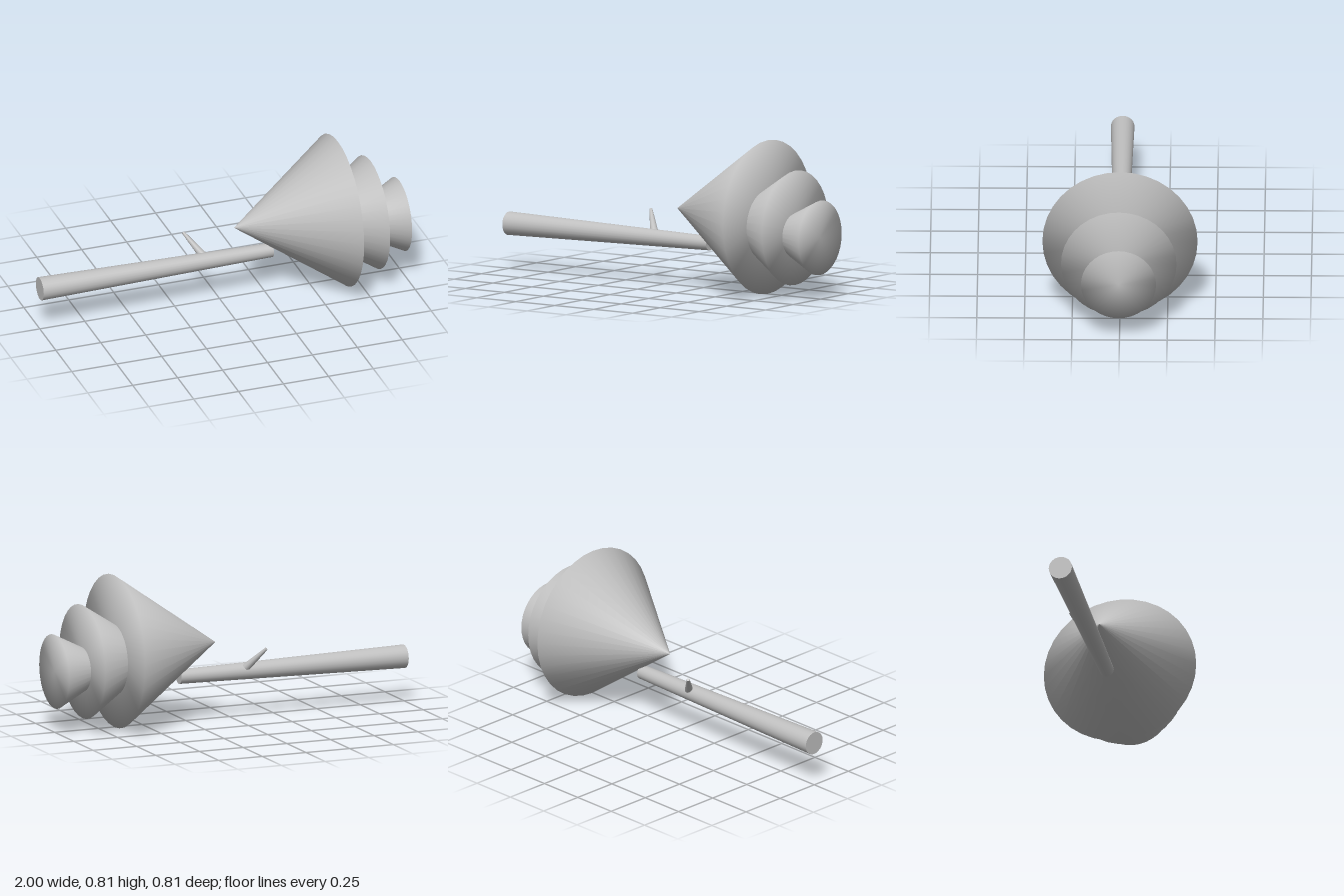
import * as THREE from 'three';

const bark = new THREE.MeshStandardMaterial({ color: 0xc0c0c0 });
bark.name = 'plain grey';

// Solid cone along +x with softly shaded rim and base
function foliageCone(name, apexX, baseX, y, z, radius) {
  const h = baseX - apexX;
  const profile = [[0, 0], [radius, h], [0, h]].map(([r, t]) => new THREE.Vector2(r, t));
  const geo = new THREE.LatheGeometry(profile, 36);
  geo.rotateZ(-Math.PI / 2);
  const mesh = new THREE.Mesh(geo, bark);
  mesh.name = name;
  mesh.position.set(apexX, y, z);
  return mesh;
}

// Tapered round rod between two points
function rod(name, from, to, r0, r1, sides) {
  const a = new THREE.Vector3(...from), b = new THREE.Vector3(...to);
  const dir = b.clone().sub(a);
  const mesh = new THREE.Mesh(new THREE.CylinderGeometry(r1, r0, dir.length(), sides), bark);
  mesh.name = name;
  mesh.position.copy(a).add(b).multiplyScalar(0.5);
  mesh.quaternion.setFromUnitVectors(new THREE.Vector3(0, 1, 0), dir.normalize());
  return mesh;
}

export function createModel() {
  const tree = new THREE.Group();
  tree.name = 'fallenTree';

  // Trunk and its single broken branch
  tree.add(rod('trunk', [-1, 0.239, 0], [0.29, 0.238, 0], 0.062, 0.038, 24));
  tree.add(rod('branch', [-0.085, 0.262, -0.024], [-0.165, 0.37, -0.107], 0.022, 0.008, 12));

  // Three nested tiers of foliage, shrinking towards +x
  tree.add(foliageCone('largeFoliage', 0.08, 0.66, 0.407, 0, 0.407));
  tree.add(foliageCone('middleFoliage', 0.37, 0.84, 0.365, 0.005, 0.303));
  tree.add(foliageCone('smallFoliage', 0.61, 1, 0.325, 0.005, 0.197));

  return tree;
}
